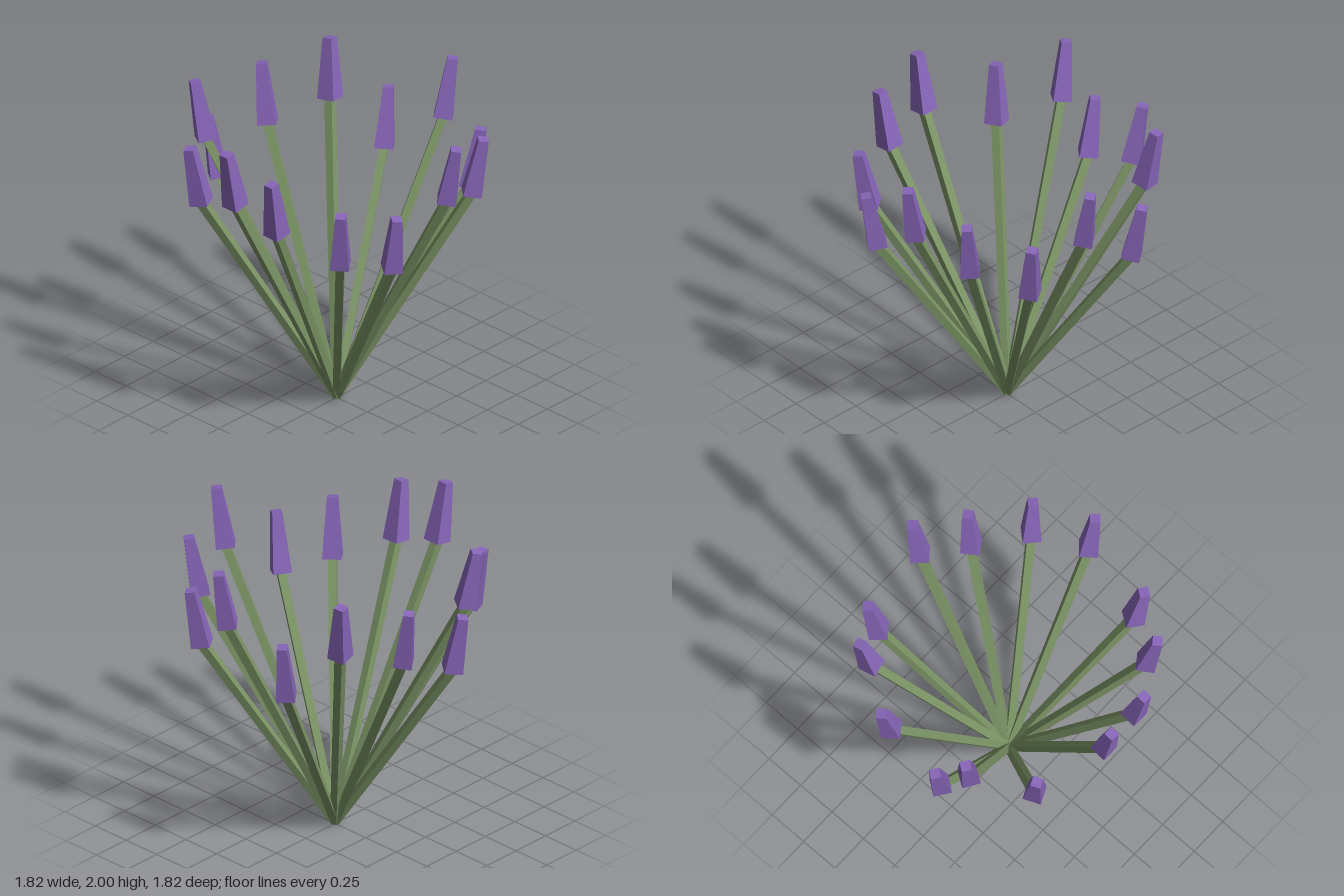
import * as THREE from 'three';

const UP = new THREE.Vector3(0, 1, 0);

// Four-sided tapered bar between two points, twisted about its own axis
function taperedBar(from, to, rBottom, rTop, twist, material, name) {
  const dir = to.clone().sub(from);
  const geo = new THREE.CylinderGeometry(rTop, rBottom, dir.length(), 4);
  geo.rotateY(-THREE.MathUtils.degToRad(twist));
  const mesh = new THREE.Mesh(geo.toNonIndexed(), material);
  mesh.geometry.computeVertexNormals();
  mesh.position.copy(from).add(to).multiplyScalar(0.5);
  mesh.quaternion.setFromUnitVectors(UP, dir.normalize());
  mesh.name = name;
  return mesh;
}

export function createModel() {
  const stemGreen = new THREE.MeshStandardMaterial({ color: 0x7b9465 });
  stemGreen.name = 'stem green';
  const petalPurple = new THREE.MeshStandardMaterial({ color: 0x8765b8 });
  petalPurple.name = 'petal purple';

  // Per flower: direction in degrees (from +x toward +z), tip height, head twist
  const flowers = [
    [-82.3, 1.99, 5], [-58, 1.695, 12], [-32.7, 1.84, -3], [-6.6, 1.975, 3],
    [23, 1.66, -10], [45.2, 1.72, 8], [72.6, 1.885, 45], [94.2, 1.98, 45],
    [127, 1.77, 20], [154.6, 1.99, -12], [167.5, 1.645, -8], [196.5, 1.84, 8],
    [224, 1.945, 33], [247, 1.645, 6],
  ];

  const model = new THREE.Group();
  model.name = 'flowerCluster';
  const root = new THREE.Vector3(0, 0.016, 0);

  for (const [degrees, height, twist] of flowers) {
    const a = THREE.MathUtils.degToRad(degrees);
    const at = (r, y) => new THREE.Vector3(r * Math.cos(a), y, r * Math.sin(a));
    const tip = at(0.88, height);
    const base = at(0.81, height - 0.37);
    const flower = new THREE.Group();
    flower.name = 'flower';
    // Stem leans outward, the head stands more upright on its end
    flower.add(taperedBar(root, base, 0.031, 0.036, twist, stemGreen, 'stem'));
    flower.add(taperedBar(base, tip, 0.08, 0.043, twist, petalPurple, 'flowerHead'));
    model.add(flower);
  }
  return model;
}
